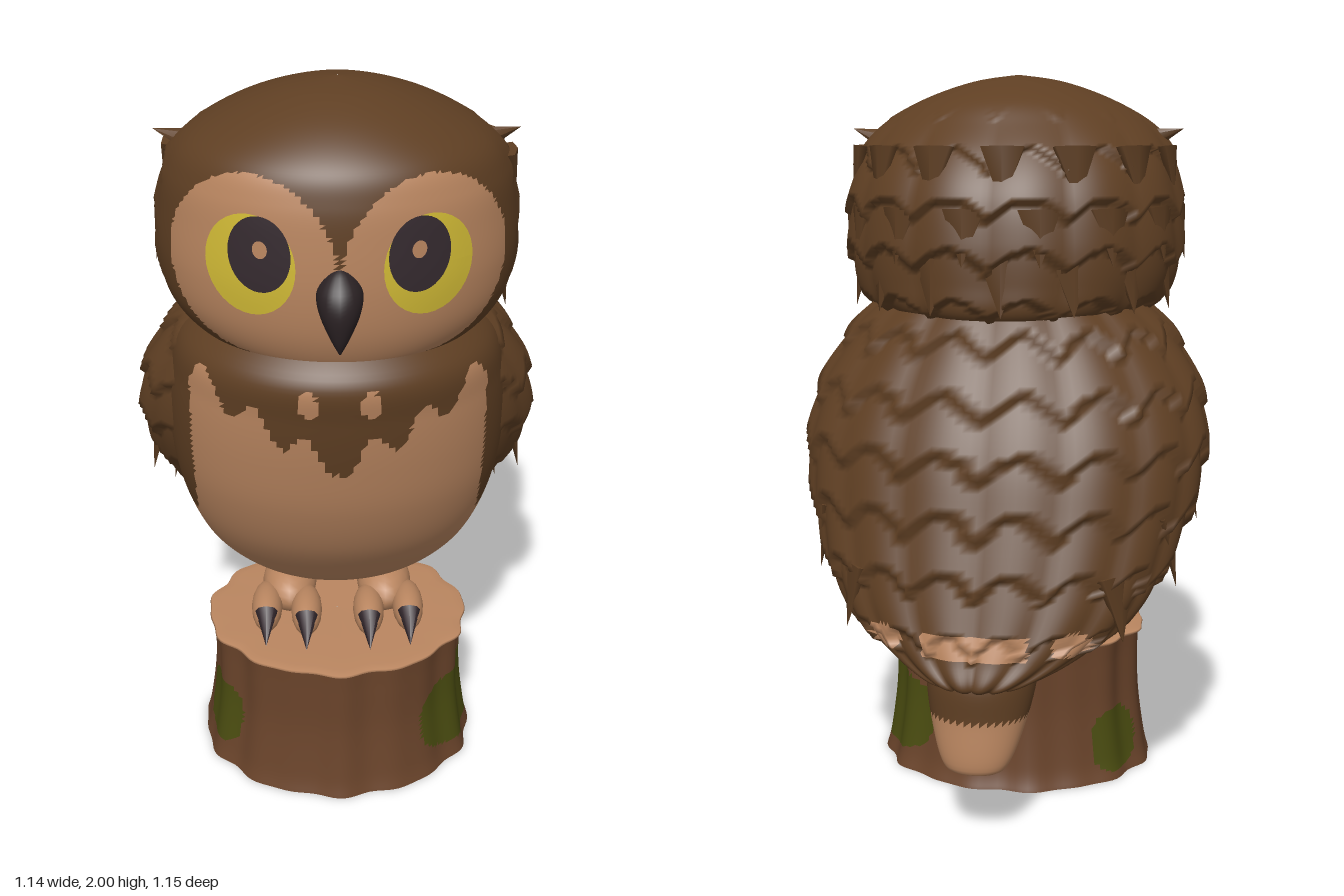
import * as THREE from 'three';

const paint = (name, color) => Object.assign(new THREE.MeshStandardMaterial({ color }), { name });
const feather = paint('brown feather', 0x5f3f23);
const tan = paint('tan down', 0xba8660);
const bark = paint('bark', 0x69432a);
const moss = paint('moss', 0x4a4c10);
const yellow = paint('iris yellow', 0xd2bb36);
const dark = paint('pupil and claw', 0x352a2f);
const horn = paint('beak horn', 0x2a2123);
const base = paint('stump underside', 0xa08a38);

// Cross-sections, bottom to top: [y, half width, front z, back z]
const HEAD = [[1.32, .3, .42, -.27], [1.37, .4, .46, -.33], [1.45, .455, .49, -.345], [1.56, .475, .505, -.355],
  [1.68, .468, .505, -.345], [1.78, .445, .495, -.3], [1.86, .39, .465, -.23], [1.93, .27, .38, -.14],
  [1.98, .13, .26, 0], [2, .002, .13, .126]];
const BODY = [[.46, .002, -.08, -.084], [.48, .15, .05, -.2], [.53, .27, .17, -.26], [.62, .365, .26, -.3],
  [.75, .42, .36, -.32], [.9, .455, .43, -.33], [1.05, .465, .47, -.33], [1.2, .455, .495, -.33],
  [1.32, .42, .5, -.3], [1.42, .3, .4, -.2]];
const MANTLE = [[.41, .002, -.5, -.504], [.43, .13, -.38, -.57], [.5, .29, -.2, -.56], [.6, .41, -.05, -.54],
  [.7, .475, .06, -.52], [.85, .535, .2, -.49], [1, .562, .3, -.46], [1.15, .54, .35, -.41],
  [1.3, .46, .36, -.34], [1.42, .34, .3, -.27]];
const TAIL = [[.2, .002, -.52, -.524], [.205, .08, -.47, -.57], [.33, .13, -.36, -.568], [.45, .15, -.25, -.56],
  [.53, .13, -.2, -.48]];
const STUMP = [[0, .4, .49, -.225], [.06, .385, .475, -.207], [.2, .366, .456, -.19], [.33, .362, .452, -.186],
  [.4, .365, .452, -.186]];
const BEAK = [[1.43, .002, .548, .544], [1.47, .025, .565, .5], [1.53, .052, .574, .45], [1.58, .055, .56, .44],
  [1.62, .03, .525, .45], [1.635, .002, .5, .49]];

// Smooth interpolation between sections; v runs from 0 to rows.length - 1
function section(rows, v) {
  const n = rows.length - 1, i = Math.min(Math.floor(v), n - 1), t = v - i;
  const [p, q, r, s] = [i - 1, i, i + 1, i + 2].map(k => rows[THREE.MathUtils.clamp(k, 0, n)]);
  return q.map((b, k) => b + .5 * t * (r[k] - p[k] + t * (2 * p[k] - 5 * b + 4 * r[k] - s[k] + t * (3 * (b - r[k]) + s[k] - p[k]))));
}

function sectionAtY(rows, y) {
  let lo = 0, hi = rows.length - 1;
  for (let k = 0; k < 24; k++) {
    const mid = (lo + hi) / 2;
    if (section(rows, mid)[0] < y) lo = mid; else hi = mid;
  }
  return section(rows, lo);
}

// Point on a section; angle 0 is the front, positive toward +x
function onRing([y, rx, zf, zb], a, bump = 0) {
  return [(rx + bump) * Math.sin(a), y, (zf + zb) / 2 + ((zf - zb) / 2 + bump) * Math.cos(a)];
}

function loft(rows, around, up, bump = () => 0) {
  const pos = [], index = [];
  for (let j = 0; j <= up; j++) {
    const s = section(rows, j / up * (rows.length - 1));
    for (let i = 0; i < around; i++) {
      const a = i / around * Math.PI * 2;
      pos.push(...onRing(s, a, s[1] > .01 ? bump(a > Math.PI ? a - 2 * Math.PI : a, s[0]) : 0));
    }
  }
  for (let j = 0; j < up; j++) for (let i = 0; i < around; i++) {
    const a = j * around + i, b = j * around + (i + 1) % around, c = b + around, d = a + around;
    index.push(a, b, c, a, c, d);
  }
  const g = new THREE.BufferGeometry();
  g.setAttribute('position', new THREE.Float32BufferAttribute(pos, 3));
  g.setIndex(index);
  g.computeVertexNormals();
  return g;
}

// Sort triangles into material groups by a rule on their centres
function split(g, count, rule) {
  const p = g.attributes.position, old = g.index.array, sets = Array.from({ length: count }, () => []);
  for (let i = 0; i < old.length; i += 3) {
    const t = [old[i], old[i + 1], old[i + 2]];
    const mean = f => (f(t[0]) + f(t[1]) + f(t[2])) / 3;
    sets[rule(mean(k => p.getX(k)), mean(k => p.getY(k)), mean(k => p.getZ(k)))].push(...t);
  }
  g.setIndex(sets.flat());
  let start = 0;
  sets.forEach((s, k) => { g.addGroup(start, s.length, k); start += s.length; });
  return g;
}

// Overlapping rows of rounded feathers
const shingles = (n, h, amp) => (a, y) => {
  const t = (2 - y) / h + .45 * Math.abs(Math.sin(a * n / 2));
  return amp * (t - Math.floor(t) - .55);
};

export function createModel() {
  const owl = new THREE.Group();
  owl.name = 'owl on stump';
  const add = (name, geometry, material, parent = owl) => {
    const m = new THREE.Mesh(geometry, material);
    m.name = name;
    parent.add(m);
    return m;
  };

  // Head with a heart-shaped face
  const headRows = shingles(14, .13, .022);
  const headBump = (a, y) => headRows(a, y) * THREE.MathUtils.smoothstep(Math.abs(a), 1.25, 1.7)
    * (1 - THREE.MathUtils.smoothstep(y, 1.78, 1.92));
  add('head', split(loft(HEAD, 180, 90, headBump), 2, (x, y, z) => {
    const ax = Math.abs(x);
    const lobe = ((ax - .212) / .208) ** 2 + ((y - 1.605) / .238) ** 2 < 1;
    const chin = ax < .215 && y < 1.61 && y > 1.355 + .05 * ax;
    return z > .1 && (lobe || chin) ? 1 : 0;
  }), [feather, tan]);

  // Body: tan belly, brown flanks and a ragged bib with two spots
  add('body', split(loft(BODY, 160, 80), 2, (x, y, z) => {
    const ax = Math.abs(x);
    const bibEdge = Math.min(1.08 + .55 * ax, 1.27) + .04 * Math.cos(ax * 48 + 2.2);
    const spot = ((ax - .08) / .025) ** 2 + ((y - 1.265) / .04) ** 2 < 1;
    const flank = ax > .39 && y > .78;
    return z > 0 && ((y > bibEdge && !spot) || flank) ? 0 : 1;
  }), [feather, tan]);

  // Folded wings and back, with pale bars near the tip
  add('wingsAndBack', split(loft(MANTLE, 140, 80, shingles(16, .15, .024)), 2, (x, y, z) => {
    const ax = Math.abs(x);
    const bar = z < -.4 && ax < .14 && y > .5 && y < .57;
    const spot = ((ax - .25) / .05) ** 2 + ((y - .54) / .035) ** 2 < 1 && z < -.3;
    return bar || spot ? 1 : 0;
  }), [feather, tan]);
  add('tail', split(loft(TAIL, 40, 30), 2, (x, y) => y < .34 ? 1 : 0), [feather, tan]);

  // Loose feather tips breaking the outline
  const tip = new THREE.ConeGeometry(1, 1, 6).rotateX(Math.PI);
  const flake = (rows, y, a, len, w) => {
    const m = add('featherTip', tip, feather);
    m.position.set(...onRing(sectionAtY(rows, y), a, -.008));
    m.rotation.set(-.16, a, 0, 'YXZ');
    m.scale.set(w, len, .022);
  };
  [1.73, 1.57, 1.44].forEach((y, r) => {
    for (let i = 0; i < 8; i++) flake(HEAD, y, 1.5 + (i + (r % 2) * .5) * .43, .15, .065);
  });
  [1, -1].forEach(s => {
    flake(MANTLE, .88, s * 1.35, .2, .08);
    flake(MANTLE, .74, s * 1.7, .2, .08);
    flake(MANTLE, .62, s * 2.1, .18, .08);
    // Brow tufts
    const tuft = add('browTuft', new THREE.ConeGeometry(.055, .17, 7), feather);
    tuft.position.set(s * .39, 1.825, .08);
    tuft.rotation.z = -s * 1.25;
  });

  // Eyes follow the curve of the face
  const disc = (name, cx, cy, rx, ry, lift, material) => {
    const g = new THREE.RingGeometry(.001, 1, 36, 6), p = g.attributes.position;
    for (let i = 0; i < p.count; i++) {
      const x = cx + rx * p.getX(i), y = cy + ry * p.getY(i), [, w, zf, zb] = sectionAtY(HEAD, y);
      p.setXYZ(i, x, y, (zf + zb) / 2 + (zf - zb) / 2 * Math.sqrt(1 - (x / w) ** 2) + lift);
    }
    g.computeVertexNormals();
    add(name, g, material);
  };
  [1, -1].forEach(s => {
    disc('iris', s * .215, 1.628, .11, .128, .006, yellow);
    disc('pupil', s * .192, 1.66, .076, .095, .011, dark);
    disc('eyeGlint', s * .19, 1.675, .018, .022, .015, tan);
  });
  add('beak', loft(BEAK, 20, 24), horn);

  // Feet: rounded toes ending in claws
  const ball = new THREE.SphereGeometry(1, 16, 12), claw = new THREE.ConeGeometry(.032, .11, 8);
  [1, -1].forEach(s => {
    const foot = new THREE.Group();
    foot.name = 'foot';
    owl.add(foot);
    const blob = (name, x, y, z, sx, sy, sz) => {
      const m = add(name, ball, tan, foot);
      m.position.set(x, y, z);
      m.scale.set(sx, sy, sz);
    };
    blob('ankle', s * .14, .46, .06, .08, .07, .13);
    [[.09, .29, 1], [.205, .27, 1], [.15, -.06, -1]].forEach(([x, z, d]) => {
      blob('toe', s * x, .45, z - d * .09, .045, .05, .11);
      const c = add('claw', claw, dark, foot);
      c.position.set(s * x, .447, z + d * .02);
      c.rotation.x = d * 2.1;
    });
  });

  // Stump with bark ridges and moss patches
  const ridges = a => .006 * Math.cos(11 * a) + .004 * Math.sin(17 * a + 1);
  const patches = [[93, 50, .165, .125], [-70, 16, .16, .1], [-119, 14, .11, .09]];
  add('stump', split(loft(STUMP, 140, 40, ridges), 2, (x, y, z) => {
    const deg = Math.atan2(x, z - .133) * 180 / Math.PI;
    return patches.some(([c, w, cy, h]) => Math.abs((deg - c) / w) ** 3 + Math.abs((y - cy) / h) ** 3 < 1) ? 1 : 0;
  }), [bark, moss]);
  add('stumpTop', loft([[.398, .365, .452, -.186], [.412, .345, .432, -.166], [.412, .002, .135, .131]], 140, 8, ridges), tan);
  add('stumpUnderside', loft([[0, .002, .135, .131], [0, .4, .49, -.225]], 140, 1, ridges), base);

  return owl;
}
